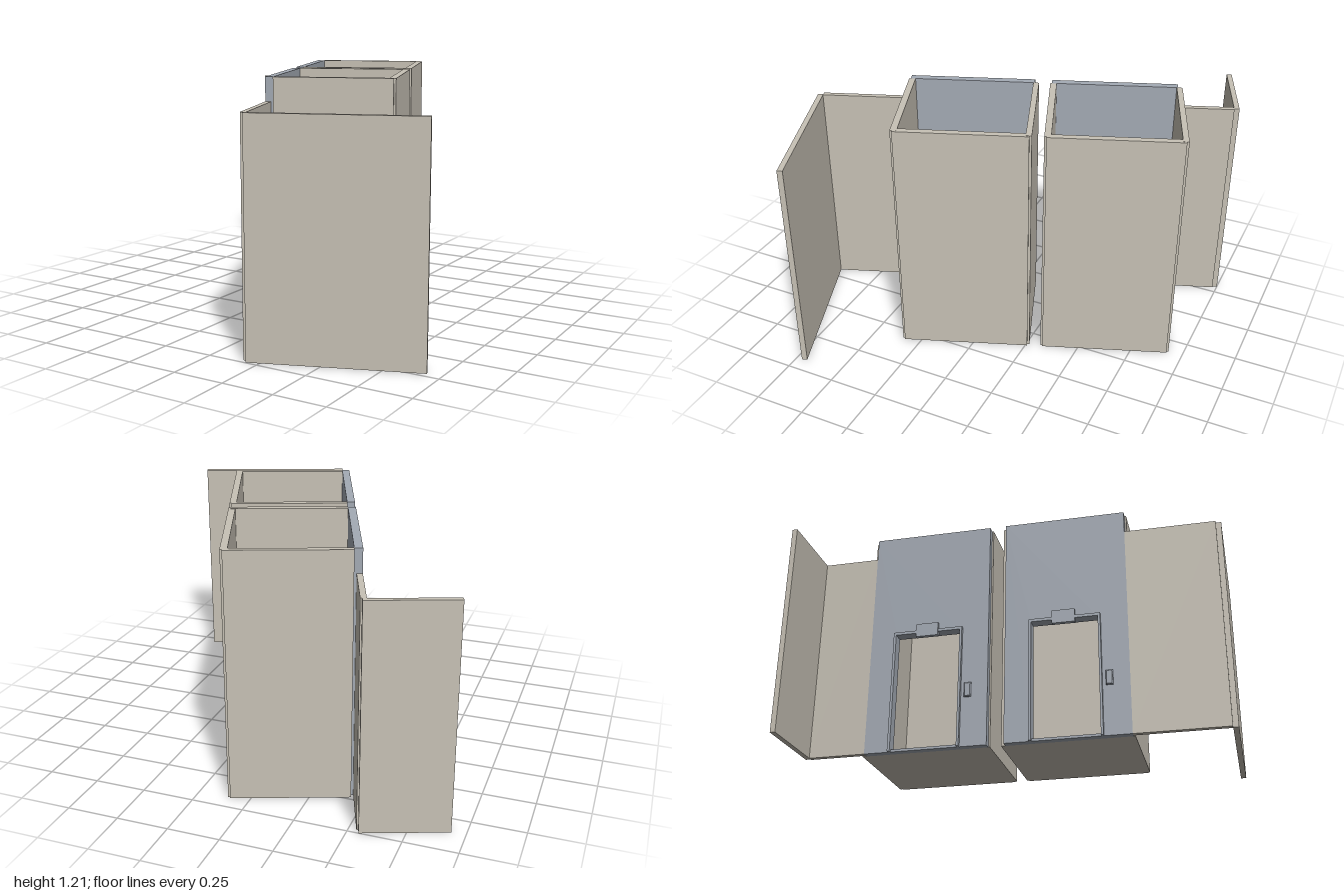
import * as THREE from 'three';

const stone = new THREE.MeshStandardMaterial({ color: 0xc8c2b6 });
stone.name = 'warm grey wall';
const steel = new THREE.MeshStandardMaterial({ color: 0xa4abb5 });
steel.name = 'blue grey panel';

const BASE = 0.017, TOP = 1.225, WALL_TOP = 1.11, FLOOR = 0.03;

// Box given by its lower and upper limits on each axis
function block(name, material, [x0, x1], [y0, y1], [z0, z1]) {
  const mesh = new THREE.Mesh(new THREE.BoxGeometry(x1 - x0, y1 - y0, z1 - z0), material);
  mesh.position.set((x0 + x1) / 2, (y0 + y1) / 2, (z0 + z1) / 2);
  mesh.name = name;
  return mesh;
}

// Upright panel in the z-y plane with a doorway open at the bottom
function archPanel(name, [x0, x1], [z0, z1], top, [d0, d1], doorTop) {
  const outline = [[z0, BASE], [d0, BASE], [d0, doorTop], [d1, doorTop],
    [d1, BASE], [z1, BASE], [z1, top], [z0, top]];
  const shape = new THREE.Shape(outline.map(([z, y]) => new THREE.Vector2(-z, y)));
  const geometry = new THREE.ExtrudeGeometry(shape, { depth: x1 - x0, bevelEnabled: false });
  geometry.rotateY(Math.PI / 2).translate(x0, 0, 0);
  const mesh = new THREE.Mesh(geometry, steel);
  mesh.name = name;
  return mesh;
}

// Call button plate with chamfered edges
function callButton() {
  const shape = new THREE.Shape([[-0.427, 0.275], [-0.397, 0.275], [-0.397, 0.345], [-0.427, 0.345]]
    .map(([s, y]) => new THREE.Vector2(s, y)));
  const geometry = new THREE.ExtrudeGeometry(shape, {
    depth: 0.004, bevelSize: 0.005, bevelThickness: 0.005, bevelSegments: 1, bevelOffset: -0.002,
  });
  geometry.rotateY(Math.PI / 2).translate(-0.194, 0, 0);
  const mesh = new THREE.Mesh(geometry, steel);
  mesh.name = 'callButton';
  return mesh;
}

// Open-topped shaft with a doorway in its front panel
function liftShaft(name, z) {
  const shaft = new THREE.Group();
  shaft.name = name;
  shaft.position.z = z;
  const door = [0.028, 0.365];
  shaft.add(
    block('sideWall', stone, [-0.149, 0.41], [BASE, TOP], [-0.131, -0.103]),
    block('sideWall', stone, [-0.149, 0.41], [BASE, TOP], [0.488, 0.52]),
    block('backWall', stone, [0.387, 0.42], [BASE, TOP - 0.0005], [-0.12, 0.51]),
    block('floorSlab', stone, [-0.149, 0.387], [BASE, FLOOR - 0.004], [-0.103, 0.488]),
    block('floorCover', steel, [-0.149, 0.387], [FLOOR - 0.004, FLOOR], [-0.103, 0.488]),
    archPanel('frontPanel', [-0.187, -0.149], [-0.11, 0.512], TOP, door, 0.64),
    archPanel('doorFrame', [-0.206, -0.187], [0.015, 0.377], 0.655, door, 0.64),
    block('doorSill', steel, [-0.187, -0.149], [BASE, FLOOR], door),
    block('floorIndicator', steel, [-0.208, -0.187], [0.62, 0.69], [0.135, 0.25]),
    callButton(),
  );
  return shaft;
}

export function createModel() {
  const model = new THREE.Group();
  model.name = 'liftLobby';
  model.rotation.y = THREE.MathUtils.degToRad(20.5);

  model.add(liftShaft('rearShaft', -0.707), liftShaft('frontShaft', 0));

  // L-shaped walls at both ends of the lobby
  const height = [BASE, WALL_TOP];
  model.add(
    block('rearLinkWall', stone, [-0.187, -0.16], height, [-1.105, -0.817]),
    block('rearEndWall', stone, [-0.575, -0.168], height, [-1.131, -1.105]),
    block('frontLinkWall', stone, [-0.187, -0.16], height, [0.512, 0.973]),
    block('frontEndWall', stone, [-0.17, 0.62], height, [0.973, 1.0]),
  );

  const root = new THREE.Group();
  root.add(model);
  return root;
}
